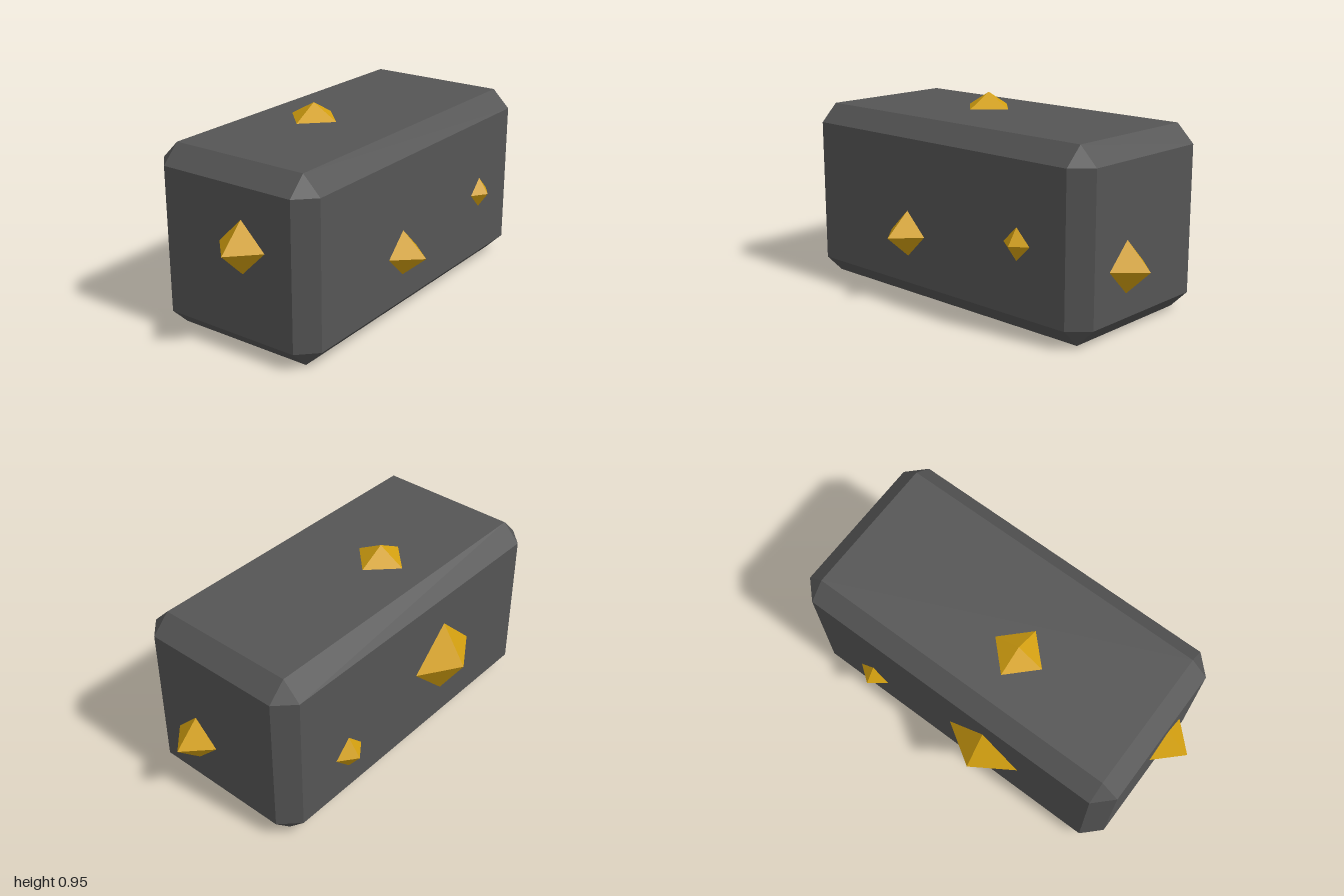
import * as THREE from 'three';
import { ConvexGeometry } from 'three/addons/geometries/ConvexGeometry.js';

export function createModel() {
  const group = new THREE.Group();
  const stone = new THREE.MeshStandardMaterial({ color: 0x555555, flatShading: true });
  stone.name = 'dark grey stone';
  const gold = new THREE.MeshStandardMaterial({ color: 0xd4a010, flatShading: true });
  gold.name = 'gold';

  // Chamfered block: hull of three points per corner, each touching one face
  const hx = 0.873, hy = 0.4365, hz = 0.436, c = 0.087;
  const points = [];
  for (const x of [-1, 1]) for (const y of [-1, 1]) for (const z of [-1, 1]) {
    points.push(
      new THREE.Vector3(x * hx, y * (hy - c), z * (hz - c)),
      new THREE.Vector3(x * (hx - c), y * hy, z * (hz - c)),
      new THREE.Vector3(x * (hx - c), y * (hy - c), z * hz)
    );
  }
  const block = new THREE.Mesh(new ConvexGeometry(points), stone);
  block.name = 'block';
  block.position.y = hy;
  group.add(block);

  // Gold nuggets: octahedra half sunk into the faces (centre, half-sizes)
  const nuggets = {
    frontNuggetLarge: [[-0.173, 0.33, hz], [0.112, 0.11, 0.126]],
    frontNuggetSmall: [[0.515, 0.415, hz], [0.075, 0.075, 0.052]],
    backNuggetLarge: [[-0.2, 0.437, -hz], [0.2, 0.195, 0.127]],
    backNuggetSmall: [[0.48, 0.3, -hz], [0.085, 0.085, 0.064]],
    leftNugget: [[hx, 0.32, 0.127], [0.125, 0.12, 0.12]],
    rightNugget: [[-hx, 0.513, 0.083], [0.127, 0.125, 0.125]],
    topNugget: [[-0.145, 2 * hy, -0.09], [0.13, 0.073, 0.13]],
  };
  const geometry = new THREE.OctahedronGeometry(1);
  for (const [name, [position, size]] of Object.entries(nuggets)) {
    const nugget = new THREE.Mesh(geometry, gold);
    nugget.name = name;
    nugget.position.set(...position);
    nugget.scale.set(...size);
    group.add(nugget);
  }
  return group;
}
